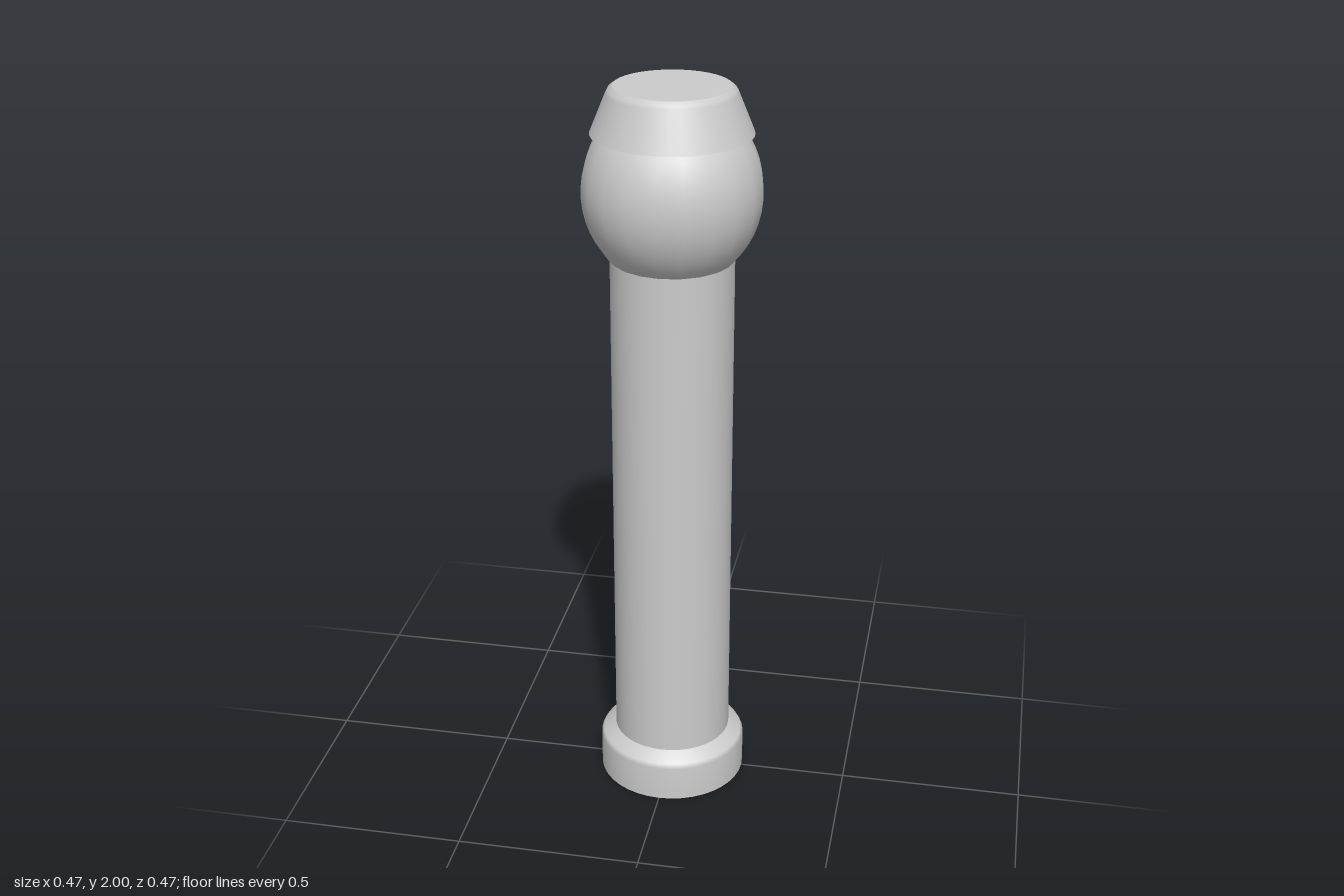
import * as THREE from 'three';

export function createModel() {
  const model = new THREE.Group();
  const material = new THREE.MeshStandardMaterial({ color: 0xcccccc, side: THREE.DoubleSide });

  // Turned part from [radius, height] pairs listed bottom to top
  const turn = (name, profile, sides) => {
    const points = profile.map(([r, y]) => new THREE.Vector2(r, y));
    const mesh = new THREE.Mesh(new THREE.LatheGeometry(points, sides), material);
    mesh.name = name;
    model.add(mesh);
  };

  // Hollow base collar with a bevelled shoulder, open underneath
  turn('baseCollar', [[0.204, 0], [0.204, 0.1], [0.197, 0.112], [0.162, 0.136]], 40);

  // Hollow shaft
  turn('shaft', [[0.162, 0.136], [0.162, 1.55]], 40);

  // Bulb: an ellipsoid cut off where it meets the shaft, running up inside the cap
  const bulb = [];
  const start = Math.asin(-0.18 / 0.25), end = Math.asin(0.2 / 0.25);
  for (let i = 0; i <= 14; i++) {
    const a = start + (end - start) * i / 14;
    bulb.push([0.233 * Math.cos(a), 1.73 + 0.25 * Math.sin(a)]);
  }
  turn('bulb', bulb, 20);

  // Tapered cap skirt with a bevelled top edge, open underneath
  turn('capSkirt', [[0.208, 1.88], [0.166, 1.983], [0.161, 1.992], [0.15, 2]], 40);

  // Flat lid closing the cap
  const lid = new THREE.Mesh(new THREE.CircleGeometry(0.15, 40), material);
  lid.name = 'capLid';
  lid.rotation.x = -Math.PI / 2;
  lid.position.y = 2;
  model.add(lid);

  return model;
}
